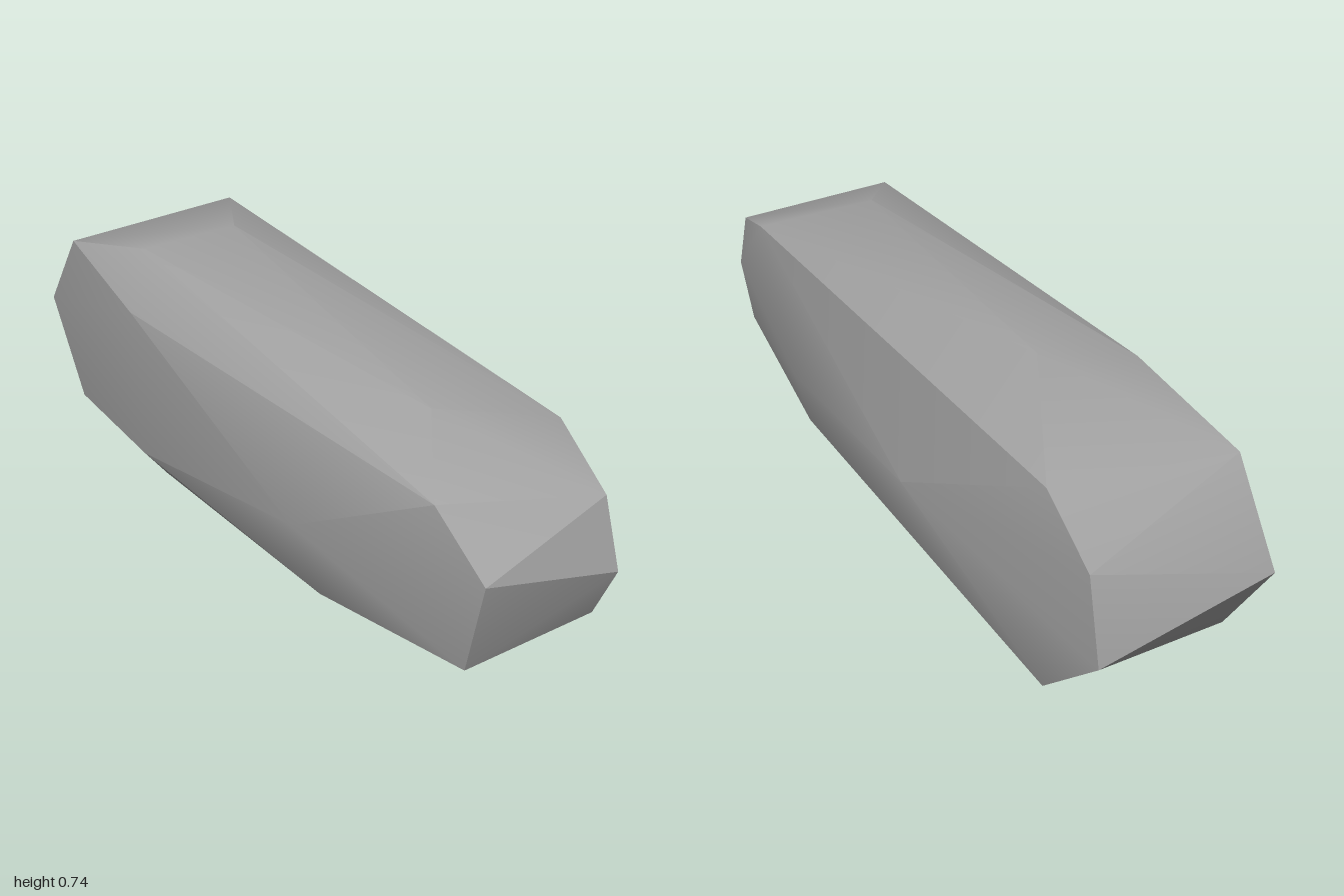
import * as THREE from 'three';
import { ConvexGeometry } from 'three/addons/geometries/ConvexGeometry.js';
import { toCreasedNormals } from 'three/addons/utils/BufferGeometryUtils.js';

// Corners of the boulder, grouped by region
const corners = {
  frontEnd: [
    [0.17, 0.54, 0.94], [0.17, 0.365, 1], [0.17, 0.21, 0.93],
    [-0.215, 0.465, 0.99], [-0.215, 0.21, 0.935],
  ],
  backEnd: [
    [0.24, 0.52, -0.945], [0.24, 0.29, -0.995], [-0.24, 0.37, -1],
    [-0.24, 0.11, -0.84], [-0.24, 0.61, -0.84],
  ],
  leftSide: [
    [0.22, 0.62, 0.72], [0.247, 0.65, -0.78], [0.318, 0.37, -0.25],
    [0.295, 0.33, 0.38], [0.247, 0.09, -0.79], [0.235, 0.14, 0.43],
  ],
  rightSide: [
    [-0.236, 0.6, 0.83], [-0.302, 0.58, -0.4], [-0.318, 0.34, 0.39],
    [-0.302, 0.165, -0.36], [-0.26, 0.14, 0.43],
  ],
  ridge: [[-0.07, 0.68, 0.6], [0.04, 0.74, -0.42], [-0.195, 0.7, -0.5]],
  underside: [
    [0.13, 0.055, 0.42], [-0.11, 0.045, 0.43],
    [-0.213, 0.05, -0.4], [0, 0, -0.42],
  ],
};

export function createModel() {
  const stone = new THREE.MeshStandardMaterial({ color: 0xa2a2a2 });
  stone.name = 'stone grey';

  // Chiselled hull: shallow facets blend, strong edges stay sharp
  const points = Object.values(corners).flat().map((p) => new THREE.Vector3(...p));
  const geometry = toCreasedNormals(new ConvexGeometry(points), THREE.MathUtils.degToRad(30));

  const boulder = new THREE.Mesh(geometry, stone);
  boulder.name = 'boulder';

  const model = new THREE.Group();
  model.name = 'longRock';
  model.add(boulder);
  return model;
}
